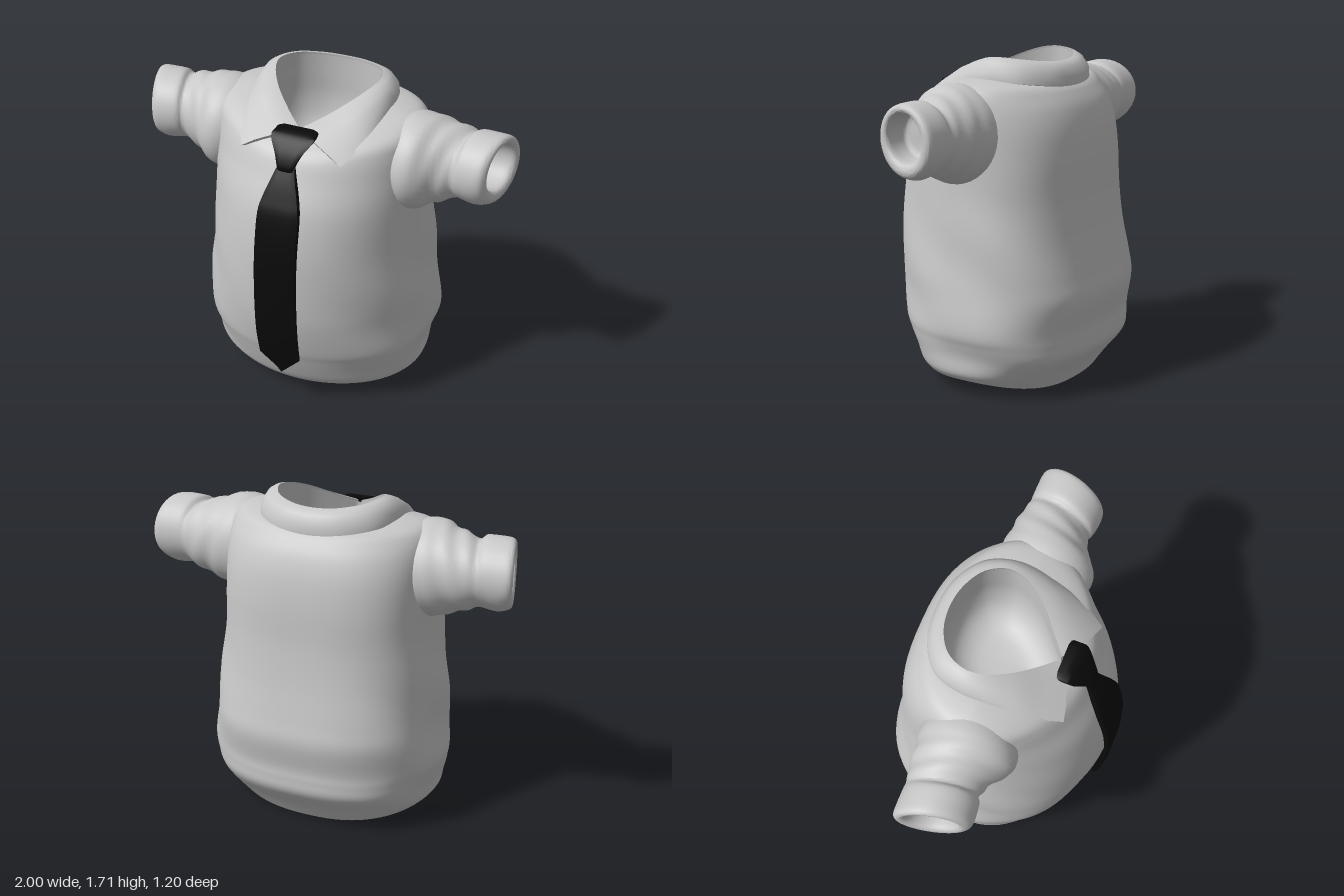
import * as THREE from 'three';
import { toCreasedNormals } from 'three/addons/utils/BufferGeometryUtils.js';

const V = (x, y, z) => new THREE.Vector3(x, y, z);

// Surface through rows of points; each row is a closed loop.
function loft(rows, crease = 0.9) {
  const n = rows[0].length, pos = [], index = [];
  rows.forEach(r => r.forEach(p => pos.push(p.x, p.y, p.z)));
  for (let i = 0; i < rows.length - 1; i++) {
    for (let j = 0; j < n; j++) {
      const k = (j + 1) % n;
      const a = i * n + j, b = i * n + k, c = a + n, d = b + n;
      index.push(a, b, d, a, d, c);
    }
  }
  const g = new THREE.BufferGeometry();
  g.setAttribute('position', new THREE.Float32BufferAttribute(pos, 3));
  g.setIndex(index);
  g.computeVertexNormals();
  return toCreasedNormals(g, crease);
}

// Close both ends of a row list with a fan to the middle.
function capped(rows) {
  const fan = r => {
    const c = r.reduce((s, p) => s.add(p), V(0, 0, 0)).divideScalar(r.length);
    return r.map(() => c.clone());
  };
  return [fan(rows[0]), ...rows, fan(rows[rows.length - 1])];
}

// Smoothly refine a table of ring parameters.
function refine(table, steps) {
  const out = [], last = table.length - 1;
  for (let i = 0; i < last; i++) {
    const p = [i - 1, i, i + 1, i + 2].map(k => table[Math.min(last, Math.max(0, k))]);
    for (let s = 0; s < steps; s++) {
      const t = s / steps;
      out.push(p[1].map((b, c) => {
        const a = p[0][c], d = p[2][c], e = p[3][c];
        return b + 0.5 * t * (d - a + t * (2 * a - 5 * b + 4 * d - e + t * (3 * (b - d) + e - a)));
      }));
    }
  }
  out.push(table[last]);
  return out;
}

// Torso: y, half width, front z, back z, front drop, back drop, front and back squareness.
const HEM = [
  [0.20, 0, -0.03, -0.03, 0, 0, 2, 2],
  [0.16, 0.30, 0.20, -0.25, 0, 0.02, 2, 2.2],
  [0.10, 0.53, 0.37, -0.38, 0, 0.07, 2, 2.4],
  [0.08, 0.56, 0.40, -0.42, 0, 0.08, 2, 2.4],
];
const TORSO = [
  [0.08, 0.56, 0.40, -0.42, 0, 0.08, 2, 2.4],
  [0.12, 0.59, 0.425, -0.48, 0, 0.03, 2, 2.5],
  [0.20, 0.60, 0.46, -0.565, 0, 0, 2, 2.6],
  [0.28, 0.62, 0.49, -0.575, 0, 0, 2, 2.6],
  [0.35, 0.632, 0.515, -0.575, 0, 0, 2, 2.6],
  [0.50, 0.61, 0.55, -0.60, 0, 0, 2, 2.7],
  [0.62, 0.60, 0.565, -0.58, 0, 0, 2, 2.7],
  [0.80, 0.582, 0.57, -0.545, 0, 0, 2, 2.7],
  [1.00, 0.562, 0.56, -0.52, 0, 0, 2, 2.7],
  [1.20, 0.555, 0.52, -0.51, 0, 0, 2, 2.7],
  [1.35, 0.555, 0.45, -0.49, 0, 0, 2, 2.6],
  [1.46, 0.555, 0.405, -0.455, 0.02, 0, 2, 2.4],
  [1.54, 0.545, 0.365, -0.41, 0.06, 0.01, 2, 2.2],
  [1.585, 0.50, 0.335, -0.385, 0.085, 0.03, 1.8, 2.2],
  [1.605, 0.41, 0.31, -0.37, 0.085, 0.04, 1.5, 2.2],
  [1.61, 0.32, 0.275, -0.35, 0.075, 0.045, 1.3, 2.2],
];
function torsoRow([y, w, zf, zb, df, db, nf, nb]) {
  const row = [], N = 80, zc = -0.03;
  const fade = THREE.MathUtils.smoothstep(y, 0.1, 0.25) * (1 - THREE.MathUtils.smoothstep(y, 0.6, 1.3));
  for (let j = 0; j < N; j++) {
    const t = j / N * Math.PI * 2, s = Math.sin(t), c = Math.cos(t);
    const e = 2 / (c > 0 ? nf : nb);
    // soft cloth folds, mostly away from the front centre
    const fold = 1 + fade * 0.014 * Math.sin(5 * t + 13 * y) * s * s;
    const x = w * Math.sign(s) * Math.abs(s) ** e * fold;
    const z = zc + (c > 0 ? zf - zc : zc - zb) * Math.sign(c) * Math.abs(c) ** e * fold;
    row.push(V(x, y - (c > 0 ? df : db) * c * c, z));
  }
  return row;
}

// Sleeve: x, top y, bottom y, front z, back z, slant of the ring.
const SLEEVE = [
  [0.42, 1.58, 1.14, 0.20, -0.24, 0],
  [0.50, 1.60, 1.10, 0.235, -0.265, 0],
  [0.57, 1.598, 1.105, 0.225, -0.265, 0],
  [0.65, 1.575, 1.14, 0.17, -0.25, 0.05],
  [0.74, 1.55, 1.175, 0.135, -0.235, 0.14],
  [0.78, 1.535, 1.195, 0.13, -0.22, 0.19],
  [0.81, 1.557, 1.195, 0.145, -0.22, 0.22],
  [0.88, 1.56, 1.185, 0.155, -0.22, 0.25],
  [0.935, 1.557, 1.20, 0.155, -0.215, 0.25],
  [0.957, 1.545, 1.22, 0.135, -0.195, 0.25],
  [0.957, 1.525, 1.25, 0.11, -0.17, 0.25],
  [0.935, 1.515, 1.27, 0.095, -0.155, 0.25],
  [0.86, 1.51, 1.275, 0.095, -0.155, 0.25],
  [0.81, 1.49, 1.29, 0.08, -0.14, 0.25],
  [0.80, 1.39, 1.39, -0.03, -0.03, 0],
];
function sleeveRow([x, top, bottom, zf, zb, slant], side) {
  const row = [], N = 40, cy = (top + bottom) / 2, cz = (zf + zb) / 2;
  const fade = Math.max(0, 1 - Math.abs(x - 0.68) / 0.14);
  for (let j = 0; j < N; j++) {
    const t = j / N * Math.PI * 2;
    const r = 1 + fade * 0.035 * Math.sin(3 * side * t + 55 * x);
    const dz = (zf - zb) / 2 * r * side * Math.sin(t);
    row.push(V(side * (x - slant * dz), cy + (top - bottom) / 2 * r * Math.cos(t), cz + dz));
  }
  return row;
}

// Collar: fold line and outer edge, from throat to back centre.
const FOLD = [[0.008, 1.555, 0.26], [0.10, 1.60, 0.18], [0.20, 1.66, 0.08], [0.265, 1.70, -0.03],
  [0.28, 1.71, -0.12], [0.23, 1.70, -0.23], [0.12, 1.685, -0.30], [0, 1.68, -0.32]];
const EDGE = [[0.265, 1.455, 0.375], [0.305, 1.50, 0.29], [0.34, 1.56, 0.17], [0.362, 1.595, 0.02],
  [0.36, 1.60, -0.12], [0.31, 1.59, -0.265], [0.17, 1.572, -0.365], [0, 1.56, -0.39]];
function fullCurve(half) {
  const pts = half.map(p => V(...p));
  const other = pts.slice(0, -1).reverse().map(p => V(-p.x, p.y, p.z));
  return new THREE.CatmullRomCurve3([...pts, ...other]).getPoints(84);
}
const foldLine = fullCurve(FOLD), edgeLine = fullCurve(EDGE);

function collarRow(T, B) {
  const off = (p, out, up) => {
    const d = V(p.x, 0, p.z + 0.05).normalize();
    return p.clone().addScaledVector(d, out).add(V(0, up, 0));
  };
  const along = k => T.clone().lerp(B, k);
  return [T, off(along(0.08), 0.02, 0.003), off(along(0.3), 0.03, 0.01), off(along(0.7), 0.027, 0.01),
    off(B, 0.006, 0), off(B, -0.035, -0.01), off(T, 0.01, -0.07)];
}

// Neck lining: the fold line sinking into a bowl.
function liningRow([scale, drop, floor]) {
  return foldLine.map(p => V(p.x * scale,
    THREE.MathUtils.lerp(p.y - 0.01, floor, drop), -0.05 + (p.z + 0.05) * scale));
}

// Tie strip: rows of y, half width, front z, thickness.
function strip(table, steps) {
  return loft(capped(refine(table, steps).map(([y, w, z, d]) => [
    V(-w, y, z - d), V(-w, y, z - 0.012), V(-w * 0.6, y, z - 0.003), V(w * 0.6, y, z - 0.003),
    V(w, y, z - 0.012), V(w, y, z - d)])), 0.7);
}
const BLADE = [
  [0.33, 0.112, 0.56, 0.025], [0.50, 0.115, 0.592, 0.025], [0.70, 0.114, 0.604, 0.028],
  [0.90, 0.112, 0.602, 0.035], [1.05, 0.111, 0.585, 0.04], [1.20, 0.108, 0.553, 0.045],
  [1.28, 0.092, 0.52, 0.045], [1.36, 0.065, 0.48, 0.045], [1.43, 0.042, 0.435, 0.045]];
const KNOT = [
  [1.405, 0.04, 0.455, 0.05], [1.43, 0.046, 0.452, 0.07], [1.48, 0.068, 0.425, 0.08],
  [1.53, 0.105, 0.382, 0.08], [1.555, 0.11, 0.35, 0.07], [1.565, 0.075, 0.32, 0.05]];

export function createModel() {
  const model = new THREE.Group();
  const cloth = new THREE.MeshStandardMaterial({ color: 0xc8c8c8, side: THREE.DoubleSide });
  cloth.name = 'shirt cloth';
  const black = new THREE.MeshStandardMaterial({ color: 0x0a0a0a });
  black.name = 'black tie';
  const add = (name, geometry, material) => {
    const mesh = new THREE.Mesh(geometry, material);
    mesh.name = name;
    model.add(mesh);
  };

  add('torso', loft(refine(TORSO, 5).map(torsoRow)), cloth);
  add('hemUnderside', loft(refine(HEM, 4).map(torsoRow)), cloth);
  for (const side of [1, -1]) {
    add(side > 0 ? 'leftSleeve' : 'rightSleeve',
      loft(refine(SLEEVE, 4).map(r => sleeveRow(r, side))), cloth);
  }
  add('collar', loft(capped(foldLine.map((p, i) => collarRow(p, edgeLine[i])))), cloth);
  const bowl = refine([[1, 0, 1.2], [1.02, 0.25, 1.2], [1.03, 0.55, 1.2], [0.9, 0.82, 1.2],
    [0.55, 0.97, 1.2], [0, 1, 1.2]], 4);
  add('neckLining', loft(bowl.map(liningRow)), cloth);

  // Tie: pointed tip, blade and knot
  add('tieTip', strip([[0.21, 0.002, 0.53, 0.02], [0.33, 0.112, 0.56, 0.025]], 1), black);
  add('tieBlade', strip(BLADE, 4), black);
  add('tieKnot', strip(KNOT, 4), black);
  return model;
}
